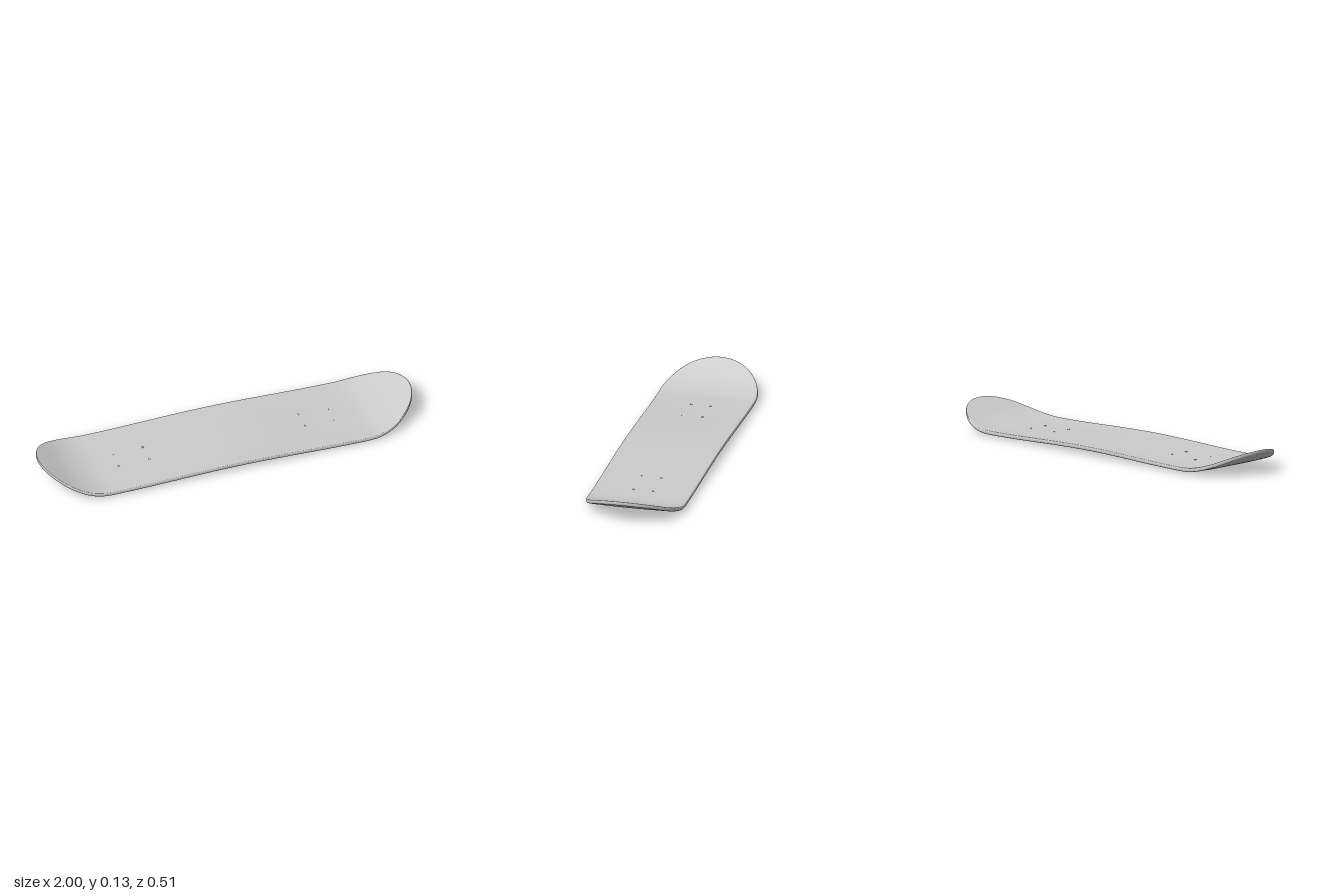
import * as THREE from 'three';
import { mergeVertices } from 'three/addons/utils/BufferGeometryUtils.js';

const HALF_WIDTH = 0.254, STRAIGHT = 0.72, END = 0.28, THICK = 0.021;

// Height of the underside along the length: slight camber plus upturned ends
function baseHeight(x) {
  const a = Math.abs(x);
  const camber = a < 0.68 ? 0.015 * Math.cos((Math.PI / 2) * (a / 0.68)) ** 2 : 0;
  const t = Math.max(0, a - 0.68), bend = 0.22;
  const kick = t < bend ? t * t : bend * bend + 2 * bend * (t - bend);
  return 0.007 + camber + 1.08 * kick;
}

// Rounded plan outline, each point paired with its anchor on the centre line
function planOutline() {
  const points = [];
  const arc = 48, side = 72;
  for (const s of [1, -1]) {
    for (let i = 0; i < arc; i++) {
      const a = -Math.PI / 2 + (Math.PI * i) / arc;
      points.push({ cx: s * STRAIGHT, dx: s * END * Math.cos(a), dz: s * HALF_WIDTH * Math.sin(a) });
    }
    for (let i = 0; i < side; i++) {
      points.push({ cx: s * STRAIGHT * (1 - (2 * i) / side), dx: 0, dz: s * HALF_WIDTH });
    }
  }
  return points;
}

// Section from top centre, around the rounded rim, to bottom centre: [scale, height]
function sectionProfile() {
  const profile = [], inner = 0.965, steps = 12, rim = 10;
  for (let i = 0; i < steps; i++) profile.push([(inner * i) / steps, THICK]);
  for (let i = 0; i <= rim; i++) {
    const a = Math.PI / 2 - (Math.PI * i) / rim;
    const round = Math.sqrt(Math.max(0, Math.cos(a)));
    profile.push([inner + (1 - inner) * round, (THICK / 2) * (1 + Math.sin(a))]);
  }
  for (let i = steps - 1; i >= 0; i--) profile.push([(inner * i) / steps, 0]);
  return profile;
}

function deckGeometry() {
  const outline = planOutline(), profile = sectionProfile();
  const n = outline.length, positions = [], index = [];
  for (const [s, h] of profile) {
    for (const p of outline) {
      const x = p.cx + s * p.dx;
      const concave = 0.003 * Math.max(0, s - 0.6) / 0.4;
      positions.push(x, baseHeight(x) + h + concave, s * p.dz);
    }
  }
  for (let r = 0; r < profile.length - 1; r++) {
    for (let i = 0; i < n; i++) {
      const j = (i + 1) % n;
      const a = r * n + i, b = r * n + j, c = a + n, d = b + n;
      index.push(a, b, c, b, d, c);
    }
  }
  let geometry = new THREE.BufferGeometry();
  geometry.setAttribute('position', new THREE.Float32BufferAttribute(positions, 3));
  geometry.setIndex(index);
  geometry = mergeVertices(geometry, 1e-5);
  geometry.computeVertexNormals();
  return geometry;
}

export function createModel() {
  const model = new THREE.Group();
  model.name = 'skateboardDeck';
  const material = new THREE.MeshStandardMaterial({ color: 0xcccccc });

  const deck = new THREE.Mesh(deckGeometry(), material);
  deck.name = 'deck';
  model.add(deck);

  // Hollow sleeves lining the two groups of four truck mounting holes
  const low = -0.0075, high = THICK + 0.001;
  const sleeve = new THREE.LatheGeometry(
    [[0.004, low], [0.007, low], [0.007, high], [0.004, high], [0.004, low]]
      .map(([r, y]) => new THREE.Vector2(r, y)), 16);
  const sleeveMaterial = new THREE.MeshStandardMaterial({ color: 0xcccccc, side: THREE.DoubleSide, flatShading: true });
  for (const x of [-0.585, -0.42, 0.415, 0.58]) {
    for (const z of [-0.051, 0.051]) {
      const hole = new THREE.Mesh(sleeve, sleeveMaterial);
      hole.name = 'mountingHole';
      hole.position.set(x, baseHeight(x), z);
      model.add(hole);
    }
  }
  return model;
}
